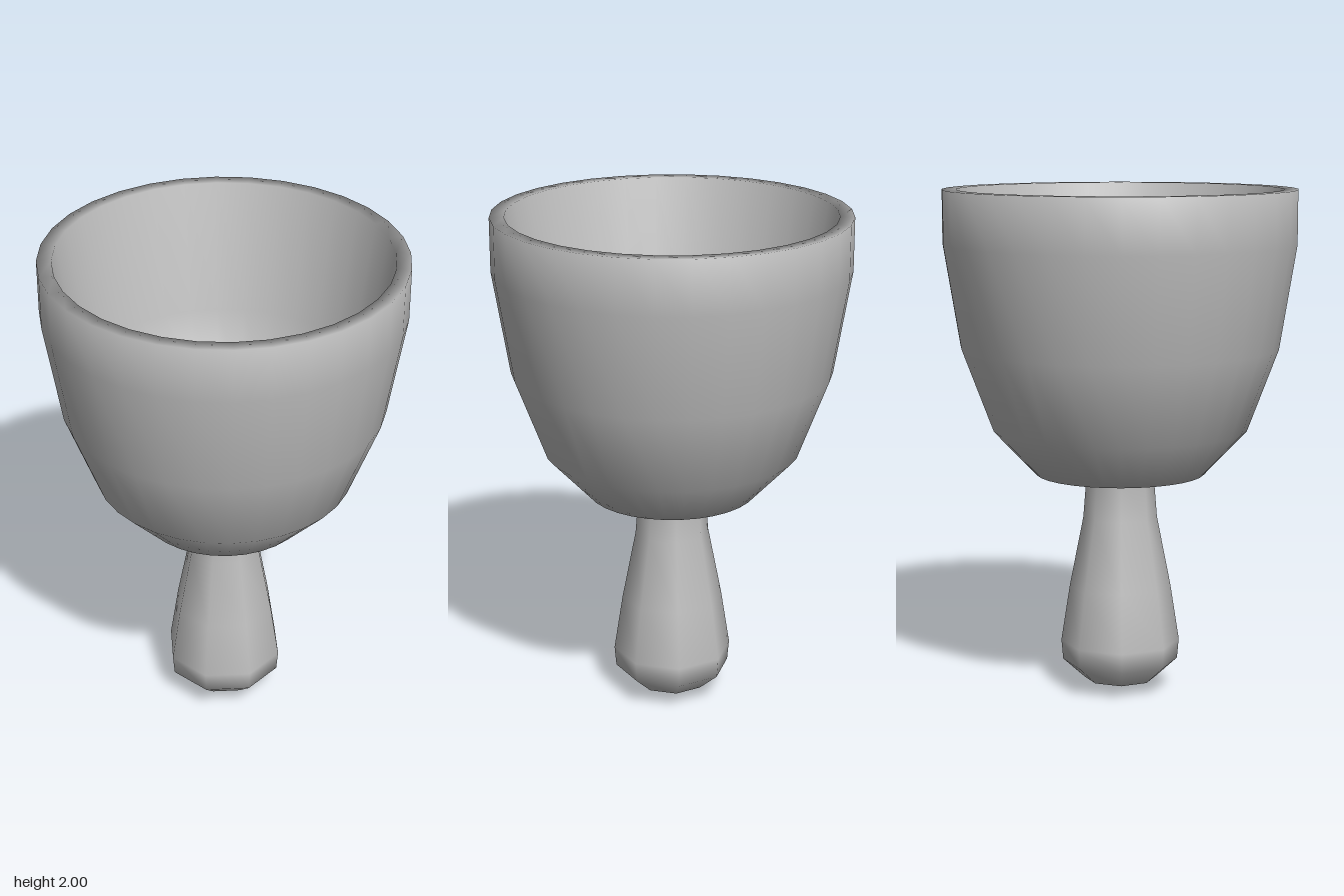
import * as THREE from 'three';

const grey = new THREE.MeshStandardMaterial({ color: 0xbfbfbf });
grey.name = 'plain grey';

// Smooth surface of revolution from [radius, height] pairs
function turned(name, profile, sides, start) {
  const points = profile.map(([r, y]) => new THREE.Vector2(r, y));
  const geometry = new THREE.LatheGeometry(points, sides, start);
  // Round off the poles: normals on the axis point straight up or down
  const { position, normal } = geometry.attributes;
  for (let i = 0; i < position.count; i++) {
    if (Math.hypot(position.getX(i), position.getZ(i)) < 1e-6) {
      normal.setXYZ(i, 0, Math.sign(normal.getY(i)), 0);
    }
  }
  const mesh = new THREE.Mesh(geometry, grey);
  mesh.name = name;
  return mesh;
}

export function createModel() {
  const model = new THREE.Group();
  model.name = 'handledCup';

  // Thick-walled cup: underside, outer wall, rim, inner wall
  model.add(turned('cup', [
    [0, 0.88], [0.335, 0.88], [0.505, 1.06], [0.627, 1.385], [0.693, 1.79], [0.693, 2],
    [0.637, 2], [0.555, 1.48], [0.45, 1.2], [0.31, 1.02],
  ], 32, Math.PI / 32));

  // Gently domed floor inside the cup
  model.add(turned('floor', [
    [0.35, 1.03], [0.335, 1.05], [0.2, 1.09], [0, 1.12],
  ], 16, Math.PI / 16));

  // Eight-sided club handle with a rounded end rising through the floor
  model.add(turned('handle', [
    [0, 0], [0.145, 0.04], [0.23, 0.115], [0.237, 0.195], [0.202, 0.42], [0.147, 0.7],
    [0.133, 0.88], [0.146, 1.11], [0.11, 1.17], [0, 1.2],
  ], 8, -0.08));

  return model;
}
